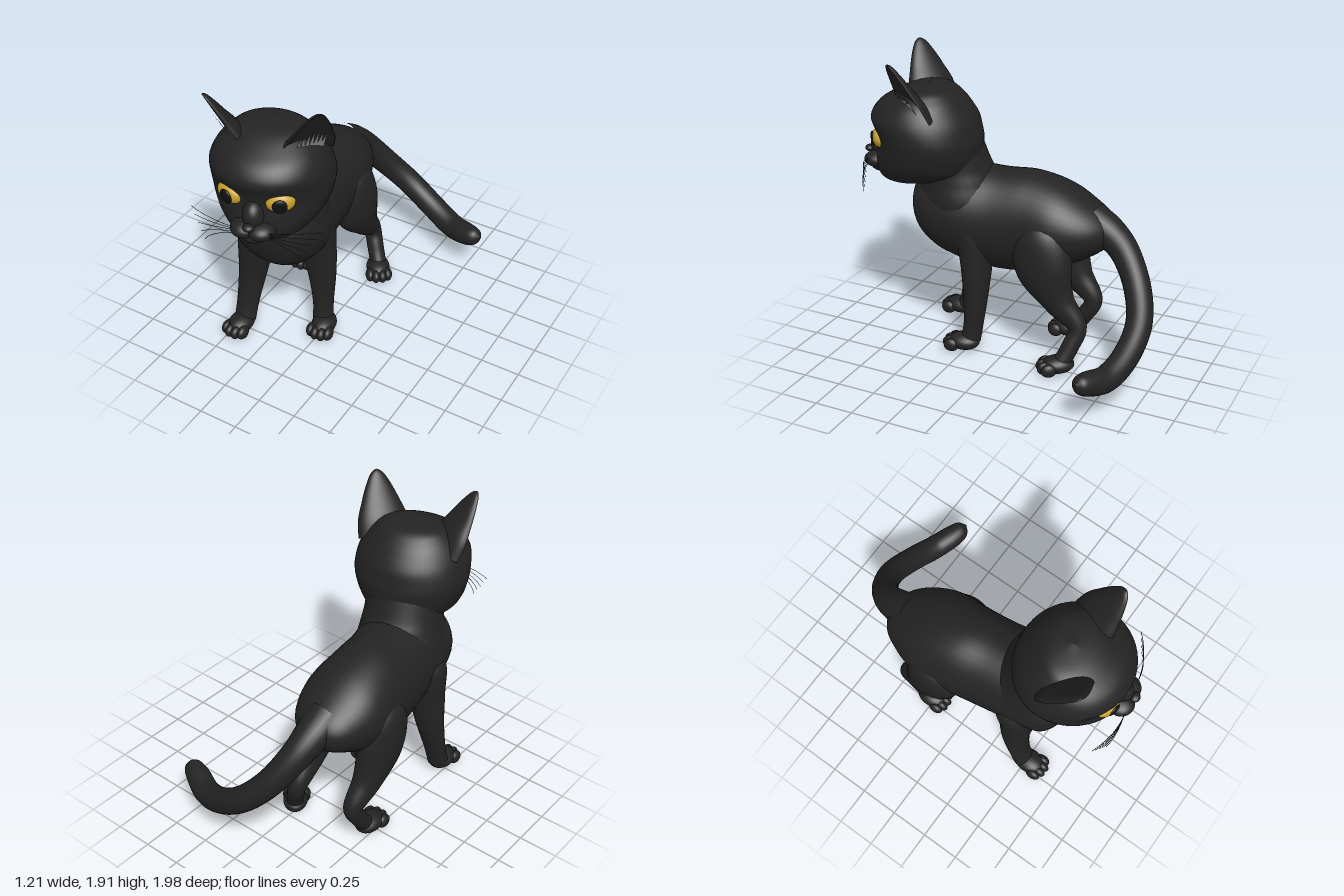
import * as THREE from 'three';

const fur = new THREE.MeshStandardMaterial({ color: 0x232323 });
fur.name = 'black fur';
const gold = new THREE.MeshStandardMaterial({ color: 0xc9a22c });
gold.name = 'golden eye';
const pupilBlack = new THREE.MeshStandardMaterial({ color: 0x111111 });
pupilBlack.name = 'pupil black';
const earGrey = new THREE.MeshStandardMaterial({ color: 0x9a9a9a, side: THREE.DoubleSide });
earGrey.name = 'inner ear grey';

const X = new THREE.Vector3(1, 0, 0);
const UP = new THREE.Vector3(0, 1, 0);
const DOWN = new THREE.Vector3(0, -1, 0);
const BACK = new THREE.Vector3(0, 0, -1);

function mesh(name, geometry, material = fur) {
  const m = new THREE.Mesh(geometry, material);
  m.name = name;
  return m;
}

// Smooth skin over elliptical sections [x, y, z, radius across, other radius].
// dir fixes the ring plane; without it rings stand square to the path.
function loft(sections, { dir = null, ref = X, rings = 40, sides = 32, shape = null } = {}) {
  const path = new THREE.CatmullRomCurve3(sections.map(s => new THREE.Vector3(s[0], s[1], s[2])), false, 'catmullrom');
  const size = new THREE.CatmullRomCurve3(sections.map(s => new THREE.Vector3(s[3], s[4], 0)), false, 'catmullrom');
  const pos = [], index = [];
  for (let i = 0; i <= rings; i++) {
    const c = path.getPoint(i / rings), r = size.getPoint(i / rings);
    const T = dir || path.getTangent(i / rings);
    const U = ref.clone().addScaledVector(T, -ref.dot(T)).normalize();
    const V = T.clone().cross(U);
    for (let j = 0; j < sides; j++) {
      const a = j / sides * Math.PI * 2;
      const p = c.clone().addScaledVector(U, Math.max(r.x, 0) * Math.cos(a))
        .addScaledVector(V, Math.max(r.y, 0) * Math.sin(a));
      if (shape) shape(p);
      pos.push(p.x, p.y, p.z);
      if (i < rings) {
        const A = i * sides + j, B = i * sides + (j + 1) % sides;
        index.push(A, B, A + sides, B, B + sides, A + sides);
      }
    }
  }
  const g = new THREE.BufferGeometry();
  g.setAttribute('position', new THREE.Float32BufferAttribute(pos, 3));
  g.setIndex(index);
  g.computeVertexNormals();
  return g;
}

function ball(name, [x, y, z], [rx, ry, rz], material = fur) {
  const m = mesh(name, new THREE.SphereGeometry(1, 28, 18), material);
  m.position.set(x, y, z);
  m.scale.set(rx, ry, rz);
  return m;
}

// Paw with four toes, resting on the ground
function paw(name, x, z, yaw) {
  const g = new THREE.Group();
  g.name = name;
  g.add(ball('pawPad', [0, 0.06, -0.02], [0.078, 0.056, 0.105]));
  [-0.058, -0.021, 0.021, 0.058].forEach(tx =>
    g.add(ball('toe', [tx, 0.047, 0.078 - Math.abs(tx) * 0.5], [0.031, 0.044, 0.05])));
  g.position.set(x, 0, z);
  g.rotation.y = yaw;
  return g;
}

function ear(side) {
  const g = new THREE.Group();
  g.name = side > 0 ? 'leftEar' : 'rightEar';
  const profile = [[-0.05, 0.17, 0.08], [0.06, 0.158, 0.075], [0.16, 0.122, 0.055], [0.25, 0.085, 0.04],
    [0.32, 0.047, 0.025], [0.348, 0.018, 0.012], [0.355, 0, 0]];
  // hollow front: the forward half of each ring is pushed inward
  g.add(mesh('earShell', loft(profile.map(([y, w, d]) => [0, y, 0, w, d]),
    { dir: UP, shape: p => { if (p.z > 0) p.z *= -0.35; } })));
  // fan of pale hair tufts
  const tufts = new THREE.Shape();
  tufts.moveTo(-0.085, 0.0);
  for (let i = 0; i < 7; i++) {
    const u = -0.085 + i * 0.025;
    tufts.lineTo(u * 1.1 + 0.012, 0.13 + 0.09 * Math.sin((i + 0.8) / 7.6 * Math.PI));
    tufts.lineTo(u + 0.025, i < 6 ? 0.08 : 0.0);
  }
  const hair = mesh('earHair', new THREE.ShapeGeometry(tufts), earGrey);
  hair.position.z = 0.015;
  g.add(hair);
  g.position.set(side * 0.22, 1.6, 0.08);
  g.rotation.order = 'YXZ';
  g.rotation.set(0.475, side * 0.765, 0);
  return g;
}

function eye(side) {
  const g = new THREE.Group();
  g.name = side > 0 ? 'leftEye' : 'rightEye';
  g.add(ball('iris', [0, 0, 0], [0.083, 0.062, 0.045], gold));
  g.add(ball('pupil', [-side * 0.006, 0, 0.036], [0.044, 0.047, 0.016], pupilBlack));
  g.position.set(side * 0.15, 1.395, 0.325);
  g.rotation.order = 'YXZ';
  g.rotation.set(0.12, side * 0.4, side * 0.12);
  return g;
}

function createHead() {
  const head = new THREE.Group();
  head.name = 'head';
  // skull rings: height, back z, front z, half width
  const rings = [[1.118, 0.1, 0.2, 0], [1.125, -0.06, 0.34, 0.2], [1.19, -0.25, 0.38, 0.285], [1.27, -0.29, 0.375, 0.33],
    [1.37, -0.3, 0.36, 0.357], [1.44, -0.29, 0.375, 0.36], [1.52, -0.27, 0.405, 0.345], [1.6, -0.22, 0.36, 0.305],
    [1.66, -0.17, 0.27, 0.25], [1.71, -0.1, 0.16, 0.17], [1.733, 0.02, 0.04, 0]];
  head.add(mesh('skull', loft(rings.map(([y, b, f, w]) => [0, y, (b + f) / 2, w, (f - b) / 2]),
    { dir: UP, rings: 60, sides: 48 })));
  // muzzle, chin and nose
  head.add(ball('noseBridge', [0, 1.3, 0.35], [0.065, 0.09, 0.08]));
  head.add(ball('chin', [0, 1.17, 0.355], [0.085, 0.045, 0.075]));
  head.add(ball('nose', [0, 1.268, 0.44], [0.034, 0.022, 0.032]));
  for (const side of [1, -1]) {
    head.add(ball('muzzlePad', [side * 0.05, 1.218, 0.375], [0.082, 0.052, 0.085]));
    head.add(ear(side), eye(side));
    for (let i = 0; i < 5; i++) {
      const y = 1.235 - i * 0.008;
      const curve = new THREE.QuadraticBezierCurve3(
        new THREE.Vector3(side * 0.09, y, 0.42),
        new THREE.Vector3(side * 0.24, y + 0.03 - i * 0.015, 0.43),
        new THREE.Vector3(side * (0.39 - i * 0.025), 1.25 - i * 0.042, 0.33 + i * 0.015));
      head.add(mesh('whisker', new THREE.TubeGeometry(curve, 10, 0.0018, 4)));
    }
  }
  head.position.set(-0.14, 0, 0.52);
  head.rotation.y = 0.22;
  return head;
}

export function createModel() {
  const cat = new THREE.Group();
  cat.name = 'cat';

  // Trunk rings: z, centre x, top, bottom, half width
  const trunk = [[0.665, -0.2, 0.98, 0.96, 0], [0.645, -0.2, 1.1, 0.84, 0.15], [0.58, -0.2, 1.18, 0.71, 0.245],
    [0.46, -0.2, 1.22, 0.62, 0.28], [0.3, -0.21, 1.215, 0.57, 0.288], [0.1, -0.245, 1.2, 0.53, 0.28],
    [-0.1, -0.275, 1.2, 0.54, 0.285], [-0.3, -0.285, 1.15, 0.6, 0.285], [-0.46, -0.29, 1.065, 0.68, 0.235],
    [-0.58, -0.3, 0.98, 0.76, 0.15], [-0.66, -0.3, 0.88, 0.86, 0]];
  cat.add(mesh('trunk', loft(trunk.map(([z, x, t, b, w]) => [x, (t + b) / 2, z, w, (t - b) / 2]),
    { dir: BACK, rings: 60, sides: 40 })));

  cat.add(mesh('neck', loft([[-0.2, 0.85, 0.36, 0.25, 0.24], [-0.2, 1.0, 0.37, 0.275, 0.28],
    [-0.19, 1.13, 0.395, 0.252, 0.262], [-0.18, 1.22, 0.42, 0.245, 0.24], [-0.16, 1.35, 0.45, 0.25, 0.22]], { dir: UP })));
  cat.add(createHead());

  // Front legs, one a step ahead of the other
  cat.add(mesh('leftFrontLeg', loft([[-0.08, 0.98, 0.25, 0, 0], [-0.07, 0.88, 0.25, 0.12, 0.13],
    [-0.07, 0.66, 0.21, 0.125, 0.105], [-0.045, 0.43, 0.2, 0.095, 0.083], [-0.03, 0.2, 0.21, 0.068, 0.065],
    [-0.02, 0.06, 0.23, 0.068, 0.065]], { dir: DOWN })));
  cat.add(mesh('rightFrontLeg', loft([[-0.38, 0.98, 0.38, 0, 0], [-0.39, 0.88, 0.37, 0.12, 0.14],
    [-0.4, 0.66, 0.385, 0.12, 0.115], [-0.43, 0.43, 0.395, 0.095, 0.088], [-0.45, 0.2, 0.44, 0.075, 0.063],
    [-0.455, 0.06, 0.48, 0.07, 0.065]], { dir: DOWN })));
  cat.add(paw('leftFrontPaw', 0.01, 0.285, 0.15), paw('rightFrontPaw', -0.455, 0.545, 0));

  // Hind legs: thigh, hock and foot in one sweep
  cat.add(mesh('leftHindLeg', loft([[-0.13, 1.0, -0.2, 0, 0], [-0.1, 0.88, -0.22, 0.12, 0.16],
    [-0.07, 0.66, -0.26, 0.125, 0.19], [-0.07, 0.45, -0.365, 0.088, 0.105], [-0.075, 0.3, -0.49, 0.06, 0.062],
    [-0.03, 0.17, -0.465, 0.055, 0.055], [0.02, 0.06, -0.42, 0.055, 0.055]])));
  cat.add(mesh('rightHindLeg', loft([[-0.44, 1.0, -0.17, 0, 0], [-0.47, 0.88, -0.18, 0.12, 0.16],
    [-0.49, 0.66, -0.21, 0.12, 0.185], [-0.485, 0.45, -0.32, 0.088, 0.105], [-0.47, 0.3, -0.44, 0.06, 0.062],
    [-0.465, 0.17, -0.38, 0.055, 0.055], [-0.46, 0.06, -0.3, 0.055, 0.055]])));
  cat.add(paw('leftHindPaw', 0.035, -0.39, 0.6), paw('rightHindPaw', -0.465, -0.25, 0));

  // Tail sweeping down and round to the left, with a rounded tip
  cat.add(mesh('tail', loft([[-0.3, 0.92, -0.48, 0.13, 0.13], [-0.295, 0.87, -0.6, 0.105, 0.11],
    [-0.265, 0.77, -0.72, 0.092, 0.092], [-0.17, 0.6, -0.84, 0.085, 0.085], [-0.02, 0.44, -0.912, 0.082, 0.082],
    [0.17, 0.31, -0.905, 0.081, 0.081], [0.35, 0.242, -0.855, 0.08, 0.08], [0.49, 0.265, -0.795, 0.074, 0.074],
    [0.565, 0.29, -0.77, 0.052, 0.052], [0.598, 0.3, -0.76, 0, 0]],
    { ref: new THREE.Vector3(0, 0.8, -0.6), rings: 60, sides: 24 })));

  return cat;
}
